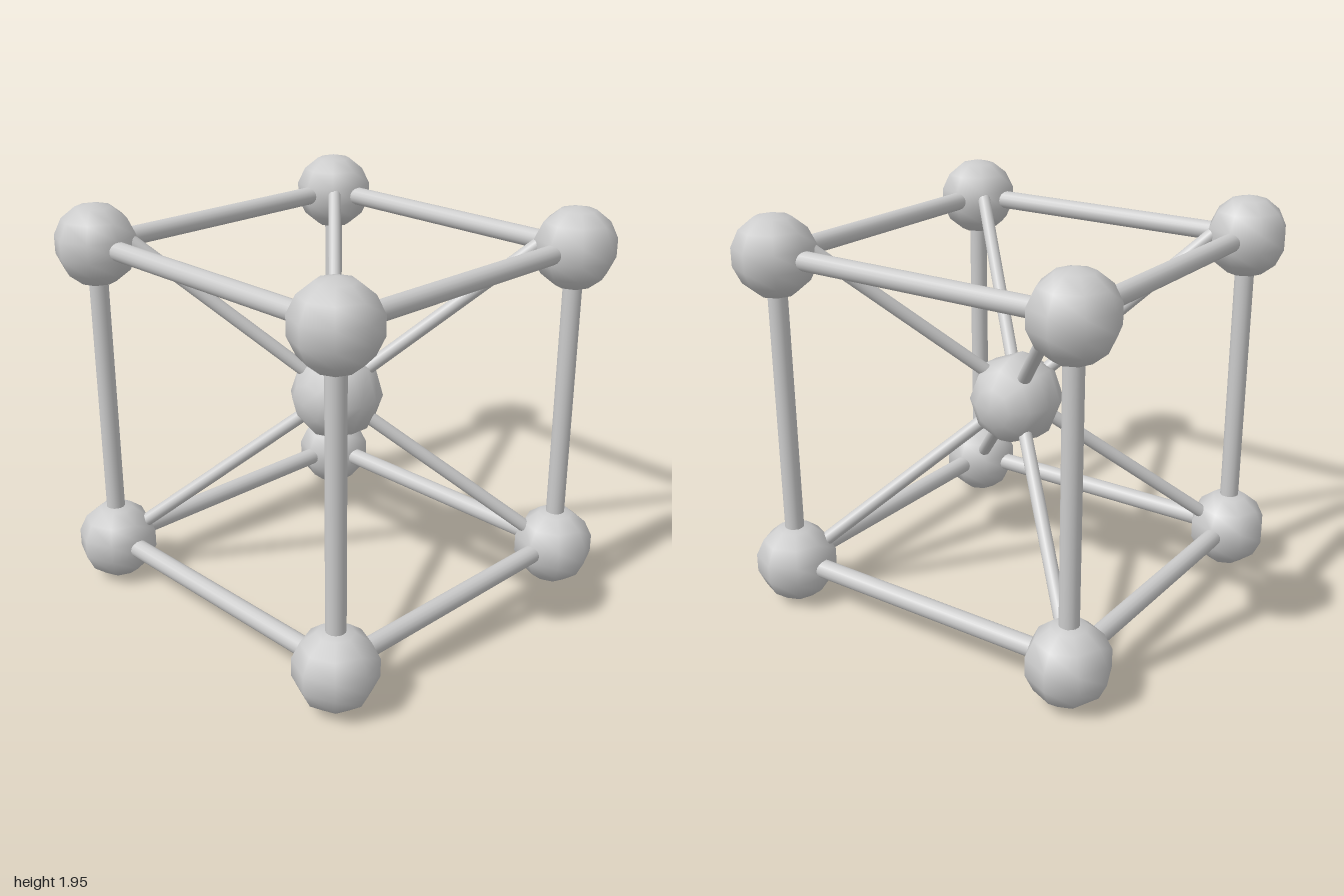
import * as THREE from 'three';

const material = new THREE.MeshStandardMaterial({ color: 0xcccccc });

// Round bar between two points
function bar(name, a, b, radius) {
  const axis = b.clone().sub(a);
  const mesh = new THREE.Mesh(new THREE.CylinderGeometry(radius, radius, axis.length(), 16), material);
  mesh.position.copy(a).add(b).multiplyScalar(0.5);
  mesh.quaternion.setFromUnitVectors(new THREE.Vector3(0, 1, 0), axis.normalize());
  mesh.name = name;
  return mesh;
}

// Low-poly smooth ball
function ball(name, radius, position) {
  const mesh = new THREE.Mesh(new THREE.SphereGeometry(radius, 8, 7), material);
  mesh.position.copy(position);
  mesh.name = name;
  return mesh;
}

export function createModel() {
  const model = new THREE.Group();
  model.name = 'bodyCentredLattice';
  const X = 0.8, Z = 0.775, LOW = 0.2, HIGH = 1.755;
  const V = (x, y, z) => new THREE.Vector3(x, y, z);

  // Centre ball, its poles along z
  const centre = ball('centreBall', 0.227, V(-0.01, 1.006, -0.025));
  centre.rotation.x = Math.PI / 2;
  model.add(centre);

  for (const sx of [-1, 1]) {
    for (const sz of [-1, 1]) {
      // Corner balls and upright edge
      const low = V(sx * X, LOW, sz * Z);
      const high = V(sx * X, HIGH, sz * Z);
      model.add(ball('cornerBall', 0.198, low), ball('cornerBall', 0.198, high));
      model.add(bar('uprightBar', low, high, 0.046));

      // Thin diagonals from the centre ball to the corners
      model.add(bar('diagonalBar', V(sx * 0.08, 1.11, sz * 0.08), V(sx * 0.68, 1.775, sz * 0.665), 0.033));
      model.add(bar('diagonalBar', V(sx * 0.08, 0.93, sz * 0.08), V(sx * 0.73, 0.264, sz * 0.7), 0.033));
    }
  }

  // Horizontal edges
  for (const y of [LOW + 0.005, HIGH]) {
    for (const s of [-1, 1]) {
      model.add(bar('crossBar', V(-X, y, s * Z), V(X, y, s * Z), 0.046));
      model.add(bar('sideBar', V(s * X, y, -Z), V(s * X, y, Z), 0.046));
    }
  }
  return model;
}
